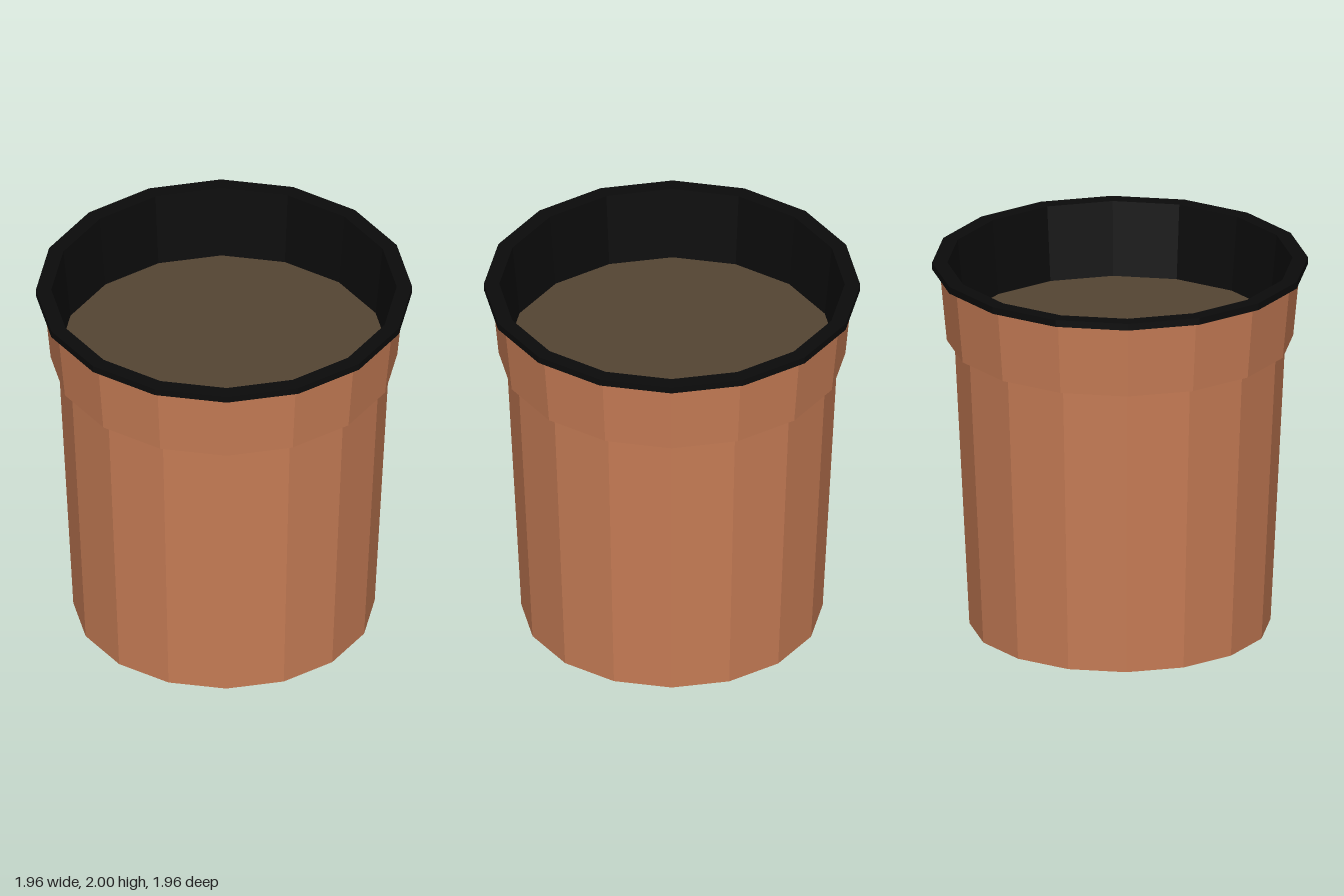
import * as THREE from 'three';

const SIDES = 16;

export function createModel() {
  const group = new THREE.Group();
  group.name = 'flowerPot';

  const paint = (color) => new THREE.MeshStandardMaterial({ color, flatShading: true });
  const clay = paint(0xc87d56);
  const black = paint(0x0b0b0b);
  const earth = paint(0x544432);

  // Faceted ring from a profile of [radius, height], outside running upwards
  const addLathe = (name, profile, material) => {
    const points = profile.map(([r, y]) => new THREE.Vector2(r, y));
    const mesh = new THREE.Mesh(new THREE.LatheGeometry(points, SIDES), material);
    mesh.name = name;
    group.add(mesh);
  };

  // Tapered body
  addLathe('body', [[0.785, 0], [0.863, 1.57]], clay);

  // Wider collar with its underside step
  addLathe('collar', [[0.863, 1.57], [0.903, 1.57], [0.94, 1.963]], clay);

  // Rim lip and the inner wall down to the soil
  addLathe('rim', [[0.94, 1.963], [0.98, 1.963], [0.98, 2], [0.9, 2], [0.86, 1.6]], black);

  // Flat base and soil surface
  const addDisc = (name, radius, y, tilt, material) => {
    const mesh = new THREE.Mesh(new THREE.CircleGeometry(radius, SIDES), material);
    mesh.name = name;
    mesh.rotation.x = tilt;
    mesh.position.y = y;
    group.add(mesh);
  };
  addDisc('base', 0.785, 0, Math.PI / 2, clay);
  addDisc('soil', 0.86, 1.6, -Math.PI / 2, earth);

  return group;
}
